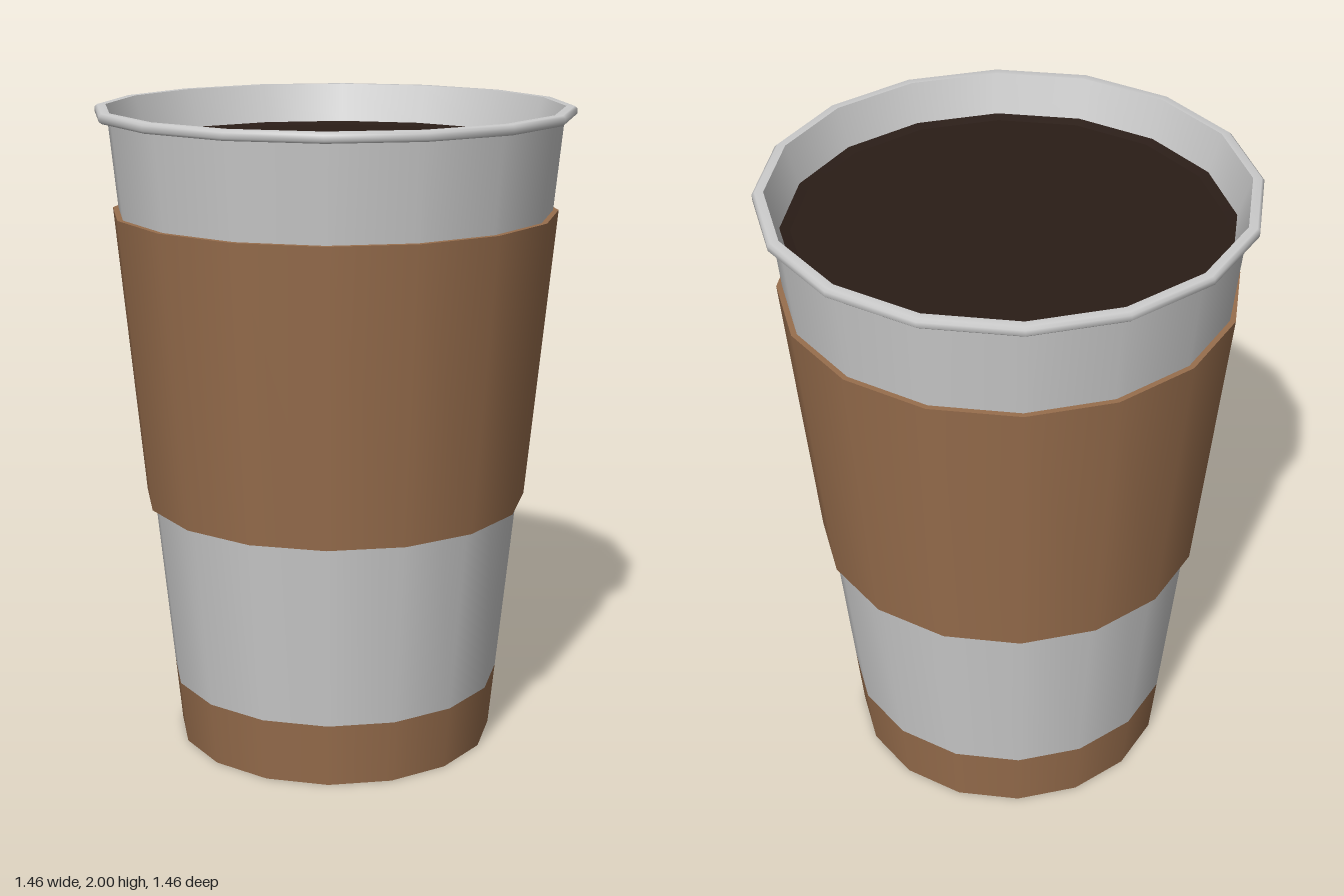
import * as THREE from 'three';
import { mergeGeometries } from 'three/addons/utils/BufferGeometryUtils.js';

const SIDES = 16;
const grey = new THREE.MeshStandardMaterial({ color: 0xcccccc });
const cardboard = new THREE.MeshStandardMaterial({ color: 0x986e4d });
const coffeeBrown = new THREE.MeshStandardMaterial({ color: 0x2a1d17 });

// Outer radius of the tapered cup at height y
const cupRadius = (y) => 0.5 + 0.0985 * y;

// Revolves strips of [radius, y] points; each strip is smooth along its
// length and a new strip starts a sharp edge. Upward strips face outward.
function turned(name, material, ...strips) {
  const rings = strips.map((strip) => {
    const points = strip.map(([r, y]) => new THREE.Vector2(r, y));
    const ring = new THREE.LatheGeometry(points, SIDES);
    ring.normalizeNormals();
    return ring;
  });
  const mesh = new THREE.Mesh(mergeGeometries(rings), material);
  mesh.name = name;
  return mesh;
}

export function createModel() {
  const cup = new THREE.Group();
  cup.name = 'coffeeCup';

  // Recessed underside with its standing ring
  cup.add(turned('base', grey,
    [[0, 0.06], [0.465, 0.06]],
    [[0.465, 0.06], [0.46, 0]],
    [[0.46, 0], [cupRadius(0), 0]]));

  // Coloured band flush with the foot of the wall
  cup.add(turned('baseBand', cardboard, [[cupRadius(0), 0], [cupRadius(0.2), 0.2]]));

  // Tapered outer wall
  cup.add(turned('wall', grey, [[cupRadius(0.2), 0.2], [cupRadius(1.97), 1.97]]));

  // Rolled rim, smoothly rounded
  cup.add(turned('rim', grey, [
    [cupRadius(1.97), 1.97], [0.722, 1.97], [0.73, 1.977],
    [0.73, 1.993], [0.722, 2], [0.697, 2],
  ]));

  // Visible inner wall above the drink
  cup.add(turned('innerWall', grey, [[0.697, 2], [0.66, 1.88]]));

  // Drink with a slightly raised edge
  cup.add(turned('coffee', coffeeBrown,
    [[0.66, 1.88], [0.63, 1.872]],
    [[0.63, 1.872], [0, 1.872]]));

  // Insulating sleeve with thickness at both ends
  cup.add(turned('sleeve', cardboard,
    [[cupRadius(0.782), 0.782], [0.598, 0.782]],
    [[0.598, 0.782], [0.683, 1.685]],
    [[0.683, 1.685], [cupRadius(1.685), 1.685]]));

  return cup;
}
